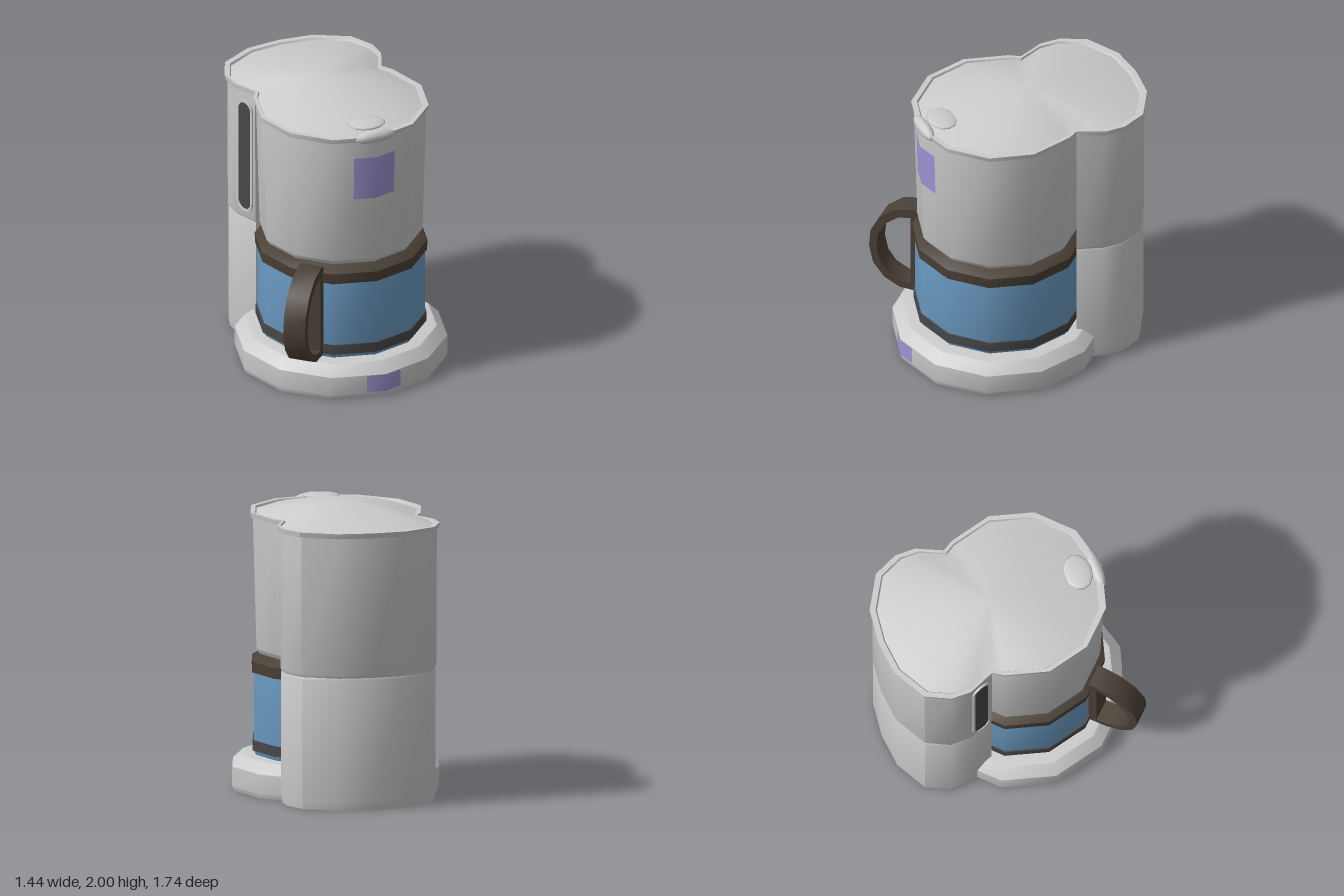
import * as THREE from 'three';
import { toCreasedNormals } from 'three/addons/utils/BufferGeometryUtils.js';

const CZ = 0.14; // axis of base, jug and tank
const mat = (color) => new THREE.MeshStandardMaterial({ color, side: THREE.DoubleSide });
const grey = mat(0xcccccc), brown = mat(0x4a4036), dark = mat(0x484848);
const blue = mat(0x6c9cc4), violet = mat(0x9f93d3);

// Outlines run anticlockwise seen from above, as [x, z]
const ngon = (r, n = 12) => Array.from({ length: n }, (_, i) => {
  const a = (i / n) * Math.PI * 2;
  return [r * Math.sin(a), CZ + r * Math.cos(a)];
});
const scaled = (pts, s, cz) => pts.map(([x, z]) => [x * s, cz + (z - cz) * s]);
// Closes a half outline (x >= 0, front to back) by mirroring it
const mirrored = (half) => [...half, ...half.filter((p) => p[0] > 0).reverse().map(([x, z]) => [-x, z])];

// Skins a stack of [outline, y] rings, with optional end caps
function loft(rings, caps = true, crease = 0.6) {
  const n = rings[0][0].length, pos = [], idx = [];
  rings.forEach(([pts, y]) => pts.forEach(([x, z]) => pos.push(x, y, z)));
  for (let k = 0; k < rings.length - 1; k++) {
    for (let i = 0; i < n; i++) {
      const j = (i + 1) % n, a = k * n + i, b = k * n + j;
      idx.push(a, b, b + n, a, b + n, a + n);
    }
  }
  if (caps) {
    const cap = (k, flip) => {
      const contour = rings[k][0].map(([x, z]) => new THREE.Vector2(x, -z));
      for (const [a, b, c] of THREE.ShapeUtils.triangulateShape(contour, [])) {
        const o = k * n;
        if (flip) idx.push(o + a, o + c, o + b); else idx.push(o + a, o + b, o + c);
      }
    };
    cap(0, true);
    cap(rings.length - 1, false);
  }
  const geo = new THREE.BufferGeometry();
  geo.setAttribute('position', new THREE.Float32BufferAttribute(pos, 3));
  geo.setIndex(idx);
  return toCreasedNormals(geo, crease);
}
// Twelve-sided turned part from [radius, y] pairs
const turned = (profile) => loft(profile.map(([r, y]) => [ngon(r), y]));

// Upright rounded slot shape
function capsule(Type, w, h) {
  const s = new Type(), r = w / 2, e = h / 2 - r;
  s.moveTo(r, -e).lineTo(r, e).absarc(0, e, r, 0, Math.PI, false);
  s.lineTo(-r, -e).absarc(0, -e, r, Math.PI, Math.PI * 2, false);
  return s;
}

// Thin plate folded over the front corner of a twelve-sided body
function foldedPlate(w, y0, z0, y1, z1) {
  const d = 0.268 * w, geo = new THREE.BufferGeometry();
  geo.setAttribute('position', new THREE.Float32BufferAttribute([
    -w, y0, z0 - d, 0, y0, z0, w, y0, z0 - d,
    -w, y1, z1 - d, 0, y1, z1, w, y1, z1 - d], 3));
  geo.setIndex([0, 1, 4, 0, 4, 3, 1, 2, 5, 1, 5, 4]);
  geo.computeVertexNormals();
  return geo;
}

export function createModel() {
  const model = new THREE.Group();
  model.name = 'coffeeMaker';
  const add = (name, geo, material, parent = model) => {
    const m = new THREE.Mesh(geo, material);
    m.name = name;
    parent.add(m);
    return m;
  };

  // Base with hot plate
  add('base', turned([[0.71, 0], [0.722, 0.03], [0.722, 0.165], [0.65, 0.235], [0.62, 0.24]]), grey);

  // Rear water column, hollowed at the front around the jug
  const back = [[0.47, -0.23], [0.53, -0.41], [0.53, -0.55], [0.455, -0.71], [0.23, -0.835], [0, -0.86]];
  const column = [...mirrored(back), [-0.3, -0.39], [0, -0.47], [0.3, -0.39]];
  add('waterColumn', loft([[0.965, 0], [0.985, 0.06], [0.985, 0.89], [0.975, 0.905], [0.992, 0.925], [1, 1.87]]
    .map(([s, y]) => [scaled(column, s, -0.4), y])), grey);

  // Filter tank overhanging the jug
  add('filterTank', turned([[0.53, 0.93], [0.553, 0.965], [0.578, 1.87]]), grey);

  // Rim round tank and column
  const R = 0.595, rimOutline = mirrored([
    [0, CZ + R], [R * 0.5, CZ + R * 0.866], [R * 0.866, CZ + R * 0.5], [R, CZ], [R * 0.866, CZ - R * 0.5],
    [0.47, -0.23], [0.55, -0.41], [0.55, -0.55], [0.47, -0.72], [0.24, -0.85], [0, -0.875]]);
  const ring = (s, y) => [scaled(rimOutline, s, -0.07), y];
  add('rim', loft([ring(0.95, 1.865), ring(0.99, 1.865), ring(1, 1.9), ring(0.95, 1.9), ring(0.93, 1.875)], false), grey);

  // Domed lid
  const dome = [0.945, 0.8, 0.65, 0.5, 0.35, 0.2, 0.05].map((s) =>
    ring(s, 1.885 + 0.115 * (1 - Math.pow(s / 0.945, 1.7))));
  add('lid', loft(dome, true, 0.9), grey);

  // Finger grip on the lid
  const grip = new THREE.Group();
  grip.name = 'lidGrip';
  model.add(grip);
  for (const [y, z, sx, sy, sz] of [[1.885, 0.69, 0.15, 0.045, 0.045], [1.925, 0.56, 0.13, 0.02, 0.1]]) {
    const g = add('gripLip', new THREE.SphereGeometry(1, 12, 8), grey, grip);
    g.scale.set(sx, sy, sz);
    g.position.set(0, y, z);
  }

  // Water level window on the side of the column
  const windowGroup = new THREE.Group();
  windowGroup.name = 'waterWindow';
  windowGroup.position.set(-0.5, 1.385, -0.32);
  windowGroup.rotation.y = Math.atan2(-0.95, 0.32);
  model.add(windowGroup);
  const frame = capsule(THREE.Shape, 0.15, 0.84);
  frame.holes.push(capsule(THREE.Path, 0.12, 0.8));
  add('windowFrame', new THREE.ExtrudeGeometry(frame, { depth: 0.012, bevelEnabled: false }), grey, windowGroup);
  add('windowPane', new THREE.ShapeGeometry(capsule(THREE.Shape, 0.122, 0.802)), dark, windowGroup).position.z = 0.005;

  // Jug
  const jug = new THREE.Group();
  jug.name = 'jug';
  model.add(jug);
  add('glass', turned([[0.555, 0.235], [0.57, 0.27], [0.57, 0.82]]), blue, jug);
  add('lowerBand', turned([[0.58, 0.27], [0.58, 0.34]]), dark, jug);
  add('jugLid', turned([[0.583, 0.805], [0.587, 0.88], [0.5, 0.932]]), brown, jug);

  // Jug handle: a D-shaped loop set diagonally
  const v = (pts) => pts.map(([x, y]) => new THREE.Vector2(x, y));
  const loop = new THREE.Shape(v([[0.55, 0.26], [0.69, 0.265], [0.8, 0.32], [0.88, 0.42], [0.91, 0.55],
    [0.9, 0.68], [0.83, 0.81], [0.72, 0.9], [0.6, 0.93], [0.55, 0.92]]));
  loop.holes.push(new THREE.Path(v([[0.61, 0.31], [0.61, 0.86], [0.7, 0.84], [0.785, 0.77],
    [0.845, 0.66], [0.855, 0.55], [0.83, 0.44], [0.77, 0.36], [0.68, 0.315]])));
  const handleGeo = new THREE.ExtrudeGeometry(loop, { depth: 0.155, bevelEnabled: false });
  handleGeo.translate(0, 0, -0.0775);
  const handle = add('jugHandle', toCreasedNormals(handleGeo, 0.7), brown, jug);
  handle.rotation.y = -Math.PI * 0.75;
  handle.position.z = CZ;

  // Plain coloured plates on tank and base
  add('tankPlate', foldedPlate(0.15, 1.43, 0.712, 1.74, 0.72), violet);
  add('basePlate', foldedPlate(0.125, 0.04, 0.866, 0.163, 0.866), violet);

  return model;
}
